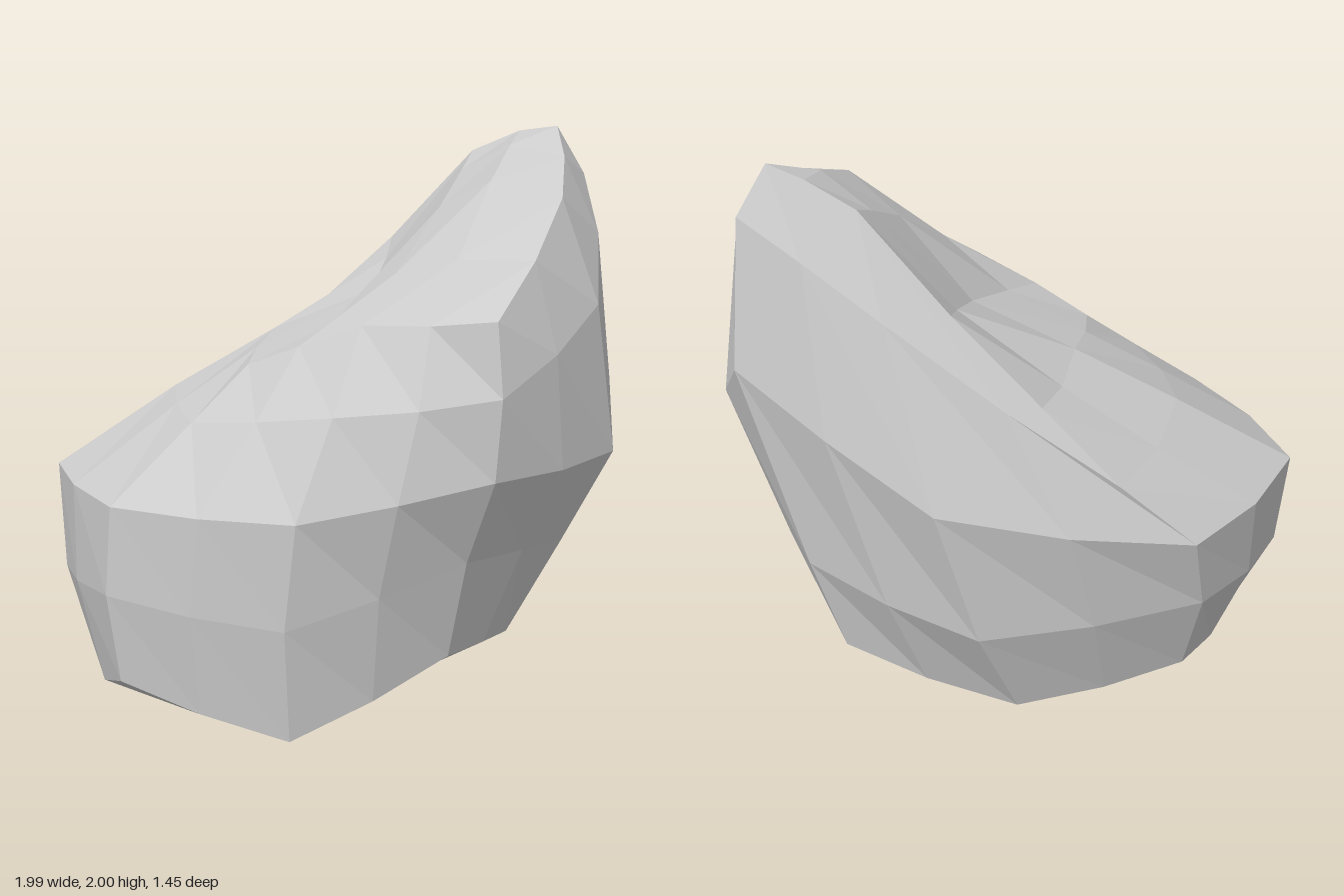
import * as THREE from 'three';

// Loops of eight corners [x, y, z], running
// right, front-right, front, front-left, left, back-left, back, back-right.
const foot = [[.63, .22, .03], [.43, .25, .4], [-.09, .02, .65], [-.68, .17, .52], [-.82, .03, .11], [-.62, .13, -.38], [-.03, .03, -.51], [.58, .21, -.4]];
const waist = [[.82, .56, .01], [.49, .6, .46], [-.1, .42, .7], [-.72, .48, .54], [-.97, .42, 0], [-.67, .47, -.5], [.1, .42, -.67], [.69, .58, -.44]];
const girth = [[.99, .9, .06], [.58, .9, .55], [-.06, .79, .72], [-.7, .79, .54], [-1, .79, -.05], [-.63, .77, -.6], [.24, .95, -.73], [.91, 1.31, -.39]];
const shoulder = [[.92, 1.43, .14], [.6, 1.18, .55], [.05, 1.12, .6], [-.45, 1.04, .35], [-.58, 1.07, -.13], [-.37, 1, -.61], [.4, 1.57, -.56], [.88, 1.83, -.32]];
const rim = [[.79, 1.79, .13], [.58, 1.43, .52], [.13, 1.39, .39], [-.27, 1.22, .22], [-.22, 1.28, -.16], [-.1, 1.25, -.55], [.48, 1.9, -.42], [.78, 2, -.28]];

// Middle lines of the underside and the crest, from left to right
const footMiddle = [[-.48, 0, .1], [-.1, .01, .05], [.28, .1, 0]];
const crestMiddle = [[.13, 1.43, -.1], [.37, 1.73, -.07], [.55, 1.84, .06]];

// Slightly bulged point between b and c, given their neighbours a and d
const between = (a, b, c, d) => b.map((v, k) => (17 * (v + c[k]) - a[k] - d[k]) / 32);

// Doubles a loop to sixteen points
function refine(loop) {
  const at = (j) => loop[(j + 8) % 8];
  return loop.flatMap((p, j) => [p, between(at(j - 1), p, at(j + 1), at(j + 2))]);
}

// Fills a sixteen-point loop with a 5 x 5 grid: rows go left to right, each front to back
function fill(ring, middle) {
  const rows = middle.map((centre, i) => {
    const front = ring[5 - i], back = ring[11 + i];
    return [front, between(back, front, centre, back), centre, between(front, centre, back, front), back];
  });
  const right = [2, 1, 0, 15, 14].map((j) => ring[j]);
  return [ring.slice(6, 11), ...rows, right];
}

// Two triangles for every cell of a grid of points
function skin(rows) {
  const out = [];
  for (let r = 0; r + 1 < rows.length; r++) {
    for (let j = 0; j + 1 < rows[r].length; j++) {
      const a = rows[r][j], b = rows[r + 1][j], c = rows[r + 1][j + 1], d = rows[r][j + 1];
      out.push(...a, ...b, ...c, ...a, ...c, ...d);
    }
  }
  return out;
}

export function createModel() {
  const group = new THREE.Group();
  group.name = 'rock';
  const material = new THREE.MeshStandardMaterial({ color: 0xcccccc, flatShading: true });
  const add = (name, rows) => {
    const geometry = new THREE.BufferGeometry();
    geometry.setAttribute('position', new THREE.Float32BufferAttribute(skin(rows), 3));
    geometry.computeVertexNormals();
    const mesh = new THREE.Mesh(geometry, material);
    mesh.name = name;
    group.add(mesh);
  };

  const rings = [foot, waist, girth, shoulder, rim].map(refine);
  // walls all round, then the crest and the underside that close them
  add('walls', rings.map((ring) => [...ring, ring[0]]));
  add('crest', fill(rings[4], crestMiddle));
  add('underside', fill(rings[0], footMiddle).reverse());
  return group;
}
